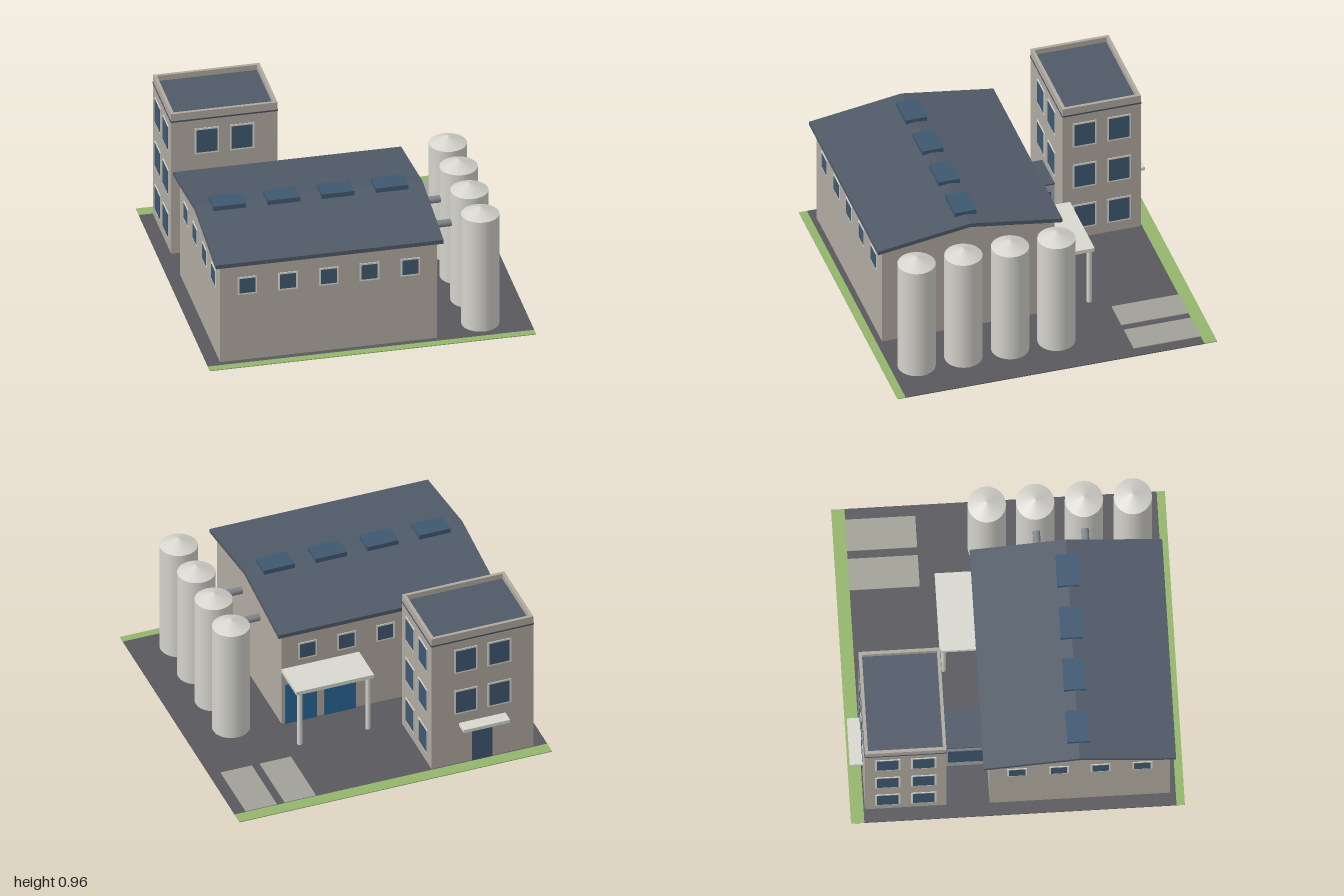
import * as THREE from 'three';

const mat = (color) => new THREE.MeshStandardMaterial({ color });
const M = {
  asphalt: mat(0x58585e), grass: mat(0x93b56b), pad: mat(0xa2a198), wall: mat(0xb0aaa0),
  roof: mat(0x505a68), trim: mat(0x465262), frame: mat(0xd8d8d0), glass: mat(0x3f5870),
  silo: mat(0xd4d3cc), pipe: mat(0x80858a), link: mat(0x9aa5a8), dock: mat(0x2b6597),
};

export function createModel() {
  const root = new THREE.Group();

  const add = (name, geo, material, parent = root) => {
    const mesh = new THREE.Mesh(geo, material);
    mesh.name = name;
    parent.add(mesh);
    return mesh;
  };
  // Box given by its minimum and maximum on each axis
  const box = (name, material, x0, x1, y0, y1, z0, z1, parent) => {
    const m = add(name, new THREE.BoxGeometry(x1 - x0, y1 - y0, z1 - z0), material, parent);
    m.position.set((x0 + x1) / 2, (y0 + y1) / 2, (z0 + z1) / 2);
    return m;
  };
  // Profile of [z, y] points extruded from x0 to x1
  const prism = (name, material, points, x0, x1) => {
    const shape = new THREE.Shape(points.map(([z, y]) => new THREE.Vector2(-z, y)));
    const geo = new THREE.ExtrudeGeometry(shape, { depth: x1 - x0, bevelEnabled: false });
    geo.rotateY(Math.PI / 2).translate(x0, 0, 0);
    return add(name, geo, material);
  };
  // Framed window facing the direction given by angle about y
  const windowAt = (x, y, z, angle, w, h, border) => {
    const g = new THREE.Group();
    g.name = 'window';
    box('windowFrame', M.frame, -w / 2, w / 2, -h / 2, h / 2, -0.004, 0.004, g);
    const a = w / 2 - border, b = h / 2 - border;
    box('windowGlass', M.glass, -a, a, -b, b, -0.004, 0.006, g);
    g.position.set(x, y, z);
    g.rotation.y = angle;
    root.add(g);
  };

  // Ground
  const G = 0.005;
  box('yard', M.asphalt, -1, 1, 0, G, -0.92, 0.95);
  box('backGrass', M.grass, -1, 1, 0, G, -1, -0.92);
  box('frontGrass', M.grass, -1, 1, 0, G, 0.95, 1);
  for (const x of [0.58, 0.83]) box('parkingPad', M.pad, x - 0.1, x + 0.1, G, 0.01, -0.92, -0.5);

  // Main hall with gabled roof
  prism('hallWalls', M.wall,
    [[0.915, G], [0.915, 0.685], [0.373, 0.765], [-0.165, 0.685], [-0.165, G]].reverse(), -0.918, 0.412);
  prism('hallRoof', M.roof,
    [[0.95, 0.668], [0.95, 0.694], [0.373, 0.78], [-0.203, 0.694], [-0.203, 0.668], [0.373, 0.754]].reverse(),
    -0.952, 0.445);
  for (const x of [-0.75, -0.418, -0.087, 0.245])
    box('skylight', M.glass, x - 0.1, x + 0.1, 0.765, 0.8, 0.305, 0.438);
  for (const x of [-0.752, -0.502, -0.252, -0.003, 0.247]) {
    windowAt(x, 0.515, 0.915, 0, 0.12, 0.12, 0.011);
    windowAt(x, 0.515, -0.165, Math.PI, 0.12, 0.12, 0.011);
  }
  for (const z of [0, 0.25, 0.5, 0.75]) windowAt(-0.918, 0.515, z, -Math.PI / 2, 0.12, 0.12, 0.011);

  // Loading dock: doors, canopy and posts
  for (const x of [0.04, 0.29]) box('dockDoor', M.dock, x - 0.1, x + 0.1, G, 0.29, -0.175, -0.16);
  box('dockCanopy', M.frame, -0.085, 0.412, 0.385, 0.41, -0.415, -0.165);
  for (const x of [-0.055, 0.382]) {
    const post = add('canopyPost', new THREE.CylinderGeometry(0.016, 0.016, 0.38, 12), M.frame);
    post.position.set(x, 0.195, -0.39);
  }

  // Link corridor between hall and office tower
  box('linkCorridor', M.link, -0.67, -0.423, G, 0.305, -0.425, -0.16);
  box('linkRoof', M.roof, -0.672, -0.421, 0.305, 0.315, -0.425, -0.16);
  box('linkGlass', M.glass, -0.674, -0.419, 0.075, 0.258, -0.4, -0.19);

  // Office tower with parapet and recessed roof
  const X0 = -0.915, X1 = -0.262, Z0 = -0.912, Z1 = -0.423, P = 0.02;
  box('towerWalls', M.wall, X0, X1, G, 0.925, Z0, Z1);
  box('towerRoof', M.roof, X0 + P, X1 - P, 0.925, 0.93, Z0 + P, Z1 - P);
  box('parapet', M.wall, X0, X1, 0.925, 0.965, Z0, Z0 + P);
  box('parapet', M.wall, X0, X1, 0.925, 0.965, Z1 - P, Z1);
  box('parapet', M.wall, X0, X0 + P, 0.925, 0.965, Z0 + P, Z1 - P);
  box('parapet', M.wall, X1 - P, X1, 0.925, 0.965, Z0 + P, Z1 - P);
  box('towerBand', M.trim, X0 - 0.003, X1 + 0.003, 0.907, 0.916, Z0 - 0.003, Z1 + 0.003);
  [0.16, 0.458, 0.76].forEach((y, floor) => {
    for (const s of [-0.108, 0.108]) {
      const x = (X0 + X1) / 2 + s, z = (Z0 + Z1) / 2 + s;
      windowAt(X1, y, z, Math.PI / 2, 0.15, 0.175, 0.011);
      windowAt(X0, y, z, -Math.PI / 2, 0.15, 0.175, 0.011);
      if (floor > 0) {
        windowAt(x, y, Z1, 0, 0.15, 0.175, 0.011);
        windowAt(x, y, Z0, Math.PI, 0.15, 0.175, 0.011);
      }
    }
  });
  box('entranceDoor', M.glass, -0.65, -0.52, G, 0.22, Z0 - 0.008, Z0 + 0.005);
  box('entranceCanopy', M.frame, -0.735, -0.438, 0.278, 0.3, -0.992, Z0);

  // Silos with conical caps
  for (const z of [-0.085, 0.205, 0.497, 0.79]) {
    const body = add('siloBody', new THREE.CylinderGeometry(0.115, 0.115, 0.75, 24), M.silo);
    body.position.set(0.705, G + 0.375, z);
    const cap = add('siloCap', new THREE.ConeGeometry(0.115, 0.05, 24), M.silo);
    cap.position.set(0.705, 0.78, z);
  }

  // Feed pipes from the middle silos to the hall
  for (const z of [0.205, 0.497]) {
    const pipe = add('feedPipe', new THREE.CylinderGeometry(0.022, 0.022, 0.2, 12), M.pipe);
    pipe.rotation.z = Math.PI / 2;
    pipe.position.set(0.5, 0.543, z);
  }

  return root;
}
